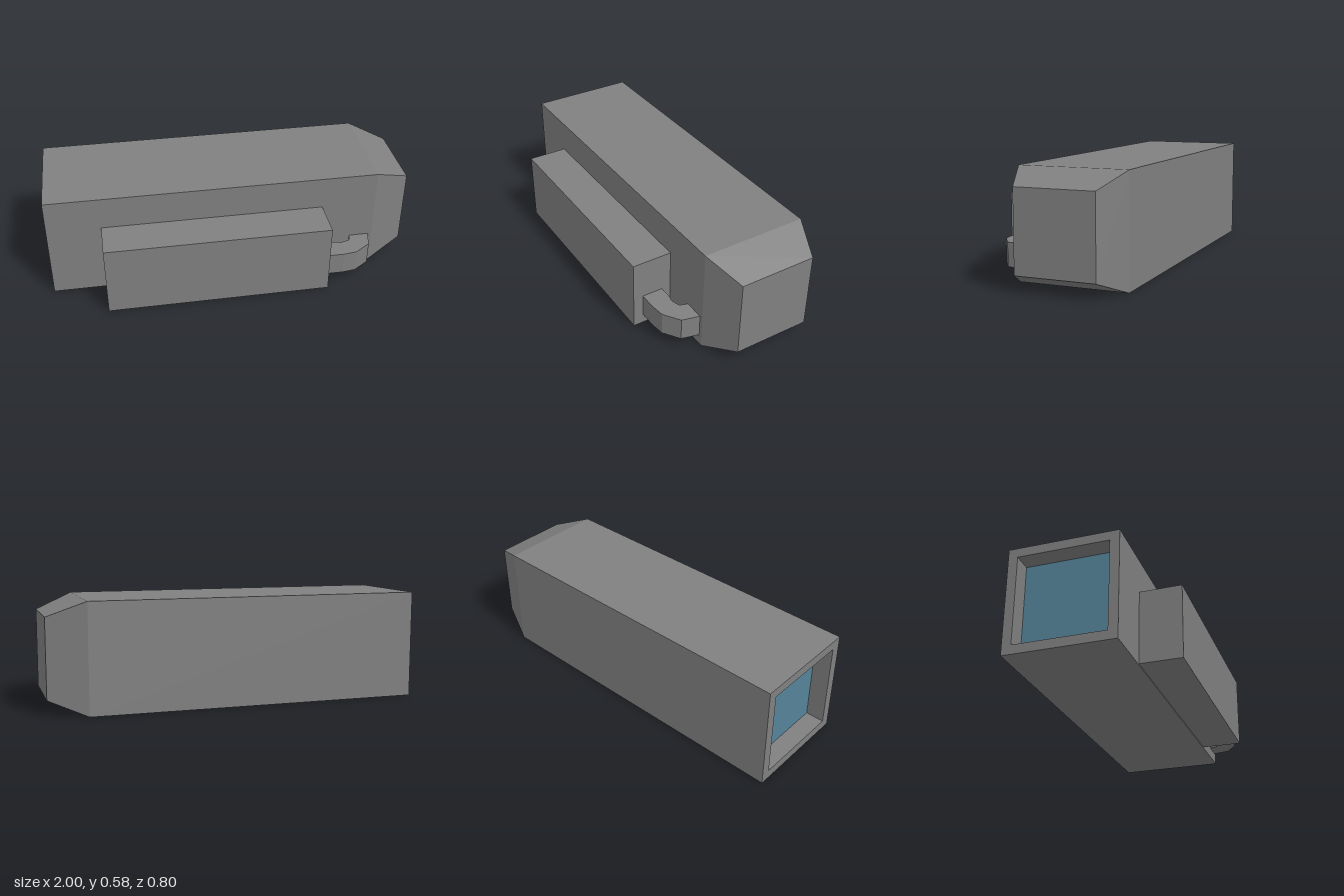
import * as THREE from 'three';

const grey = new THREE.MeshStandardMaterial({ color: 0x808080 });
grey.name = 'grey casing';
const blue = new THREE.MeshStandardMaterial({ color: 0x558398 });
blue.name = 'blue glass';

export function createModel() {
  const group = new THREE.Group();
  const add = (name, geometry, material, x, y, z) => {
    const mesh = new THREE.Mesh(geometry, material);
    mesh.name = name;
    mesh.position.set(x, y, z);
    group.add(mesh);
    return mesh;
  };

  // Square housing: [half width, x] from the lens recess, round the rim, to the tapered end
  const profile = [[0.24, -0.9], [0.24, -1], [0.29, -1], [0.29, 0.8], [0.21, 1], [0, 1]]
    .map(([half, x]) => new THREE.Vector2(half * Math.SQRT2, x));
  const housing = new THREE.LatheGeometry(profile, 4, Math.PI / 4).toNonIndexed();
  housing.rotateZ(-Math.PI / 2);
  housing.computeVertexNormals();
  add('housing', housing, grey, 0, 0.29, -0.11);

  // Glass at the bottom of the recess
  add('lens', new THREE.BoxGeometry(0.006, 0.48, 0.48), blue, -0.897, 0.29, -0.11);

  // Box on the front side
  add('sideBox', new THREE.BoxGeometry(1.21, 0.394, 0.22), grey, -0.105, 0.203, 0.29);

  // Bent square conduit from the side box into the housing, outlined in x and z
  const outline = [
    [0.5, 0.345], [0.595, 0.345], [0.67, 0.335], [0.757, 0.275], [0.78, 0.18],
    [0.67, 0.18], [0.657, 0.222], [0.61, 0.238], [0.57, 0.23], [0.5, 0.23],
  ].map(([x, z]) => new THREE.Vector2(x, -z));
  const conduit = new THREE.ExtrudeGeometry(new THREE.Shape(outline), { depth: 0.126, bevelEnabled: false });
  conduit.rotateX(-Math.PI / 2);
  add('conduit', conduit, grey, 0, 0.059, 0);

  return group;
}
